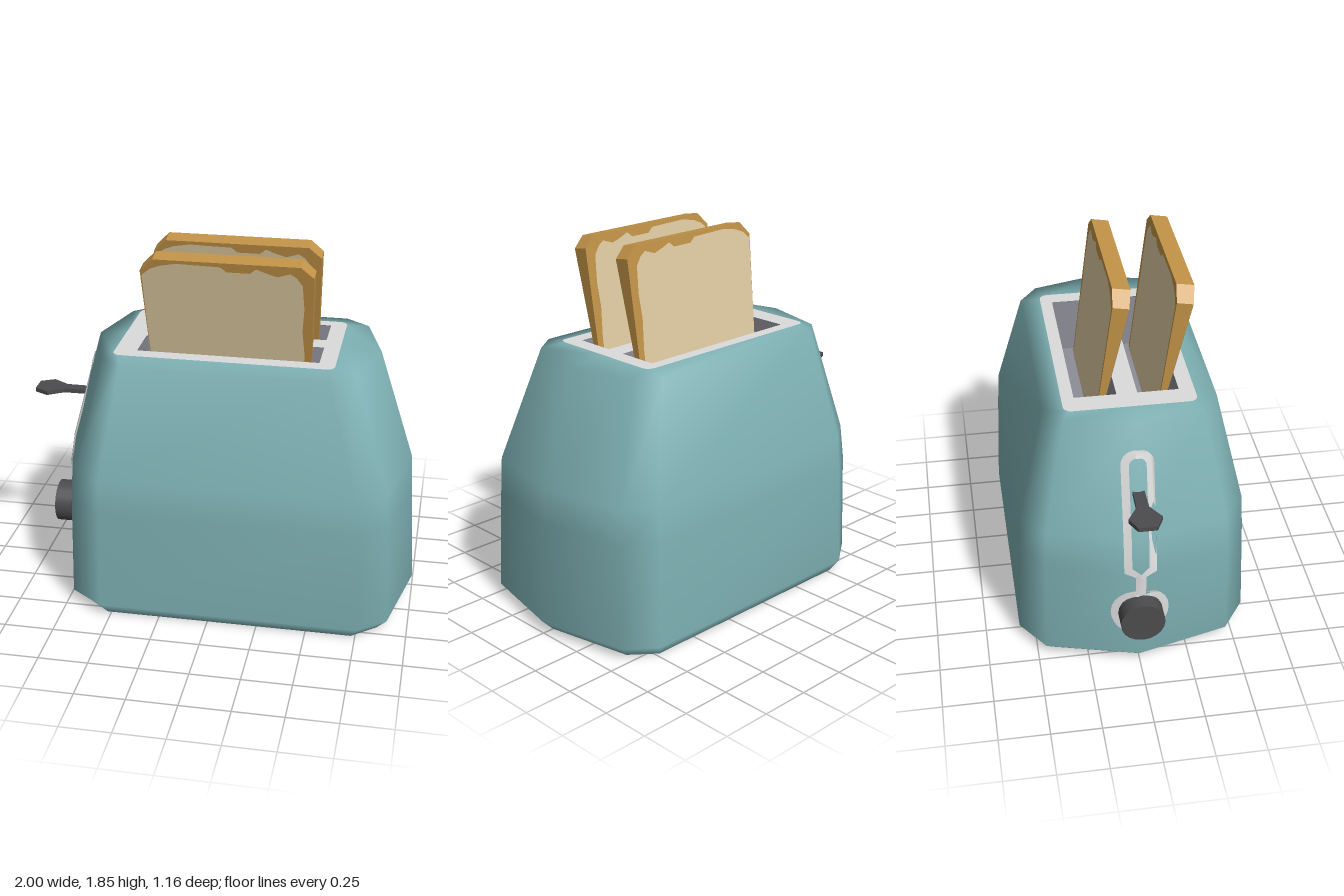
import * as THREE from 'three';

const mat = (name, color, side = THREE.DoubleSide) => {
  const m = new THREE.MeshStandardMaterial({ color, side });
  m.name = name;
  return m;
};

// Body levels: height, then half outline as [x, z] from the left-hand tip to the right-hand tip
const LEVELS = [
  [0, [[-0.78, 0], [-0.67, 0.42], [-0.52, 0.54], [0.73, 0.54], [0.85, 0.44], [0.94, 0]]],
  [0.06, [[-0.84, 0], [-0.72, 0.46], [-0.55, 0.58], [0.76, 0.58], [0.9, 0.47], [1, 0]]],
  [0.58, [[-0.835, 0], [-0.71, 0.45], [-0.545, 0.56], [0.74, 0.56], [0.88, 0.455], [0.97, 0]]],
  [0.76, [[-0.805, 0], [-0.69, 0.44], [-0.54, 0.55], [0.73, 0.55], [0.87, 0.45], [0.96, 0]]],
  [1.32, [[-0.65, 0], [-0.56, 0.33], [-0.45, 0.42], [0.57, 0.42], [0.69, 0.33], [0.78, 0]]],
  [1.333, [[-0.5, 0], [-0.5, 0.29], [-0.48, 0.31], [0.55, 0.31], [0.57, 0.29], [0.57, 0]]],
];

// Open-bottomed shell lofted through the levels
function bodyGeometry() {
  const pos = [], index = [];
  for (const [y, half] of LEVELS) {
    const back = half.slice(1, -1).reverse().map(([x, z]) => [x, -z]);
    for (const [x, z] of [...half, ...back]) pos.push(x, y, z);
  }
  const n = 10;
  for (let i = 0; i < LEVELS.length - 1; i++) {
    for (let j = 0; j < n; j++) {
      const k = (j + 1) % n, a = i * n + j, b = i * n + k;
      index.push(a, b, b + n, a, b + n, a + n);
    }
  }
  const g = new THREE.BufferGeometry();
  g.setAttribute('position', new THREE.Float32BufferAttribute(pos, 3));
  g.setIndex(index);
  g.computeVertexNormals();
  return g;
}

// x of the lever end's surface at a given height and z
function endX(y, z) {
  let i = 1;
  while (i < 3 && y > LEVELS[i + 1][0]) i++;
  const [y0, a] = LEVELS[i], [y1, b] = LEVELS[i + 1];
  const at = (h) => h[0][0] + (Math.abs(z) * (h[1][0] - h[0][0])) / h[1][1];
  return THREE.MathUtils.lerp(at(a), at(b), (y - y0) / (y1 - y0));
}

// Flat (z, y) shape laid onto the lever end
function endPlate(shape, offset) {
  const g = new THREE.ShapeGeometry(shape, 12);
  const p = g.attributes.position;
  for (let i = 0; i < p.count; i++) {
    const z = p.getX(i), y = p.getY(i);
    p.setXYZ(i, endX(y, z) - offset, y, z);
  }
  g.computeVertexNormals();
  return g;
}

function slotPath(Type, r, y0, y1) {
  const s = new Type();
  s.moveTo(r, y0);
  s.lineTo(r, 0.76);
  s.lineTo(r, y1 - r);
  s.absarc(0, y1 - r, r, 0, Math.PI, false);
  s.lineTo(-r, 0.76);
  s.lineTo(-r, y0);
  s.lineTo(0, y0 - 0.03);
  s.closePath();
  return s;
}

function roundedRect(x0, z0, x1, z1, r, Type = THREE.Shape) {
  const s = new Type();
  s.absarc(x1 - r, z1 - r, r, 0, Math.PI / 2);
  s.absarc(x0 + r, z1 - r, r, Math.PI / 2, Math.PI);
  s.absarc(x0 + r, z0 + r, r, Math.PI, Math.PI * 1.5);
  s.absarc(x1 - r, z0 + r, r, Math.PI * 1.5, Math.PI * 2);
  s.closePath();
  return s;
}

const polygon = (pts) => new THREE.Shape(pts.map(([x, y]) => new THREE.Vector2(x, y)));

// Lean and taper a flat slice: incoming z is -1 (back) to 1 (front)
function leanSlice(g, lift = 0) {
  const p = g.attributes.position;
  for (let i = 0; i < p.count; i++) {
    const y = p.getY(i), t = p.getZ(i), h = y - 1.33;
    const half = 0.0175 + 0.049 * h + lift;
    p.setY(i, y - t * half * 0.17);
    p.setZ(i, 0.1925 + 0.176 * h + t * half);
  }
  g.computeVertexNormals();
  return g;
}

export function createModel() {
  const teal = mat('teal enamel', 0x7fb2b5);
  const trim = mat('pale trim', 0xdcdcdc);
  const metal = mat('slot metal', 0x8e8e98);
  const dark = mat('dark plastic', 0x4c4c4e, THREE.FrontSide);
  const crust = mat('crust', 0xc29347, THREE.FrontSide);
  const crumb = mat('crumb', 0xe0cca2);

  const model = new THREE.Group();
  model.name = 'toaster';
  const add = (name, geometry, material, parent = model) => {
    const m = new THREE.Mesh(geometry, material);
    m.name = name;
    parent.add(m);
    return m;
  };

  add('body', bodyGeometry(), teal);

  // Top frame with two slots (shape y becomes -z)
  const slots = [[-0.26, -0.055], [0.045, 0.245]];
  const frame = roundedRect(-0.51, -0.32, 0.58, 0.32, 0.04);
  for (const [z0, z1] of slots) {
    frame.holes.push(roundedRect(-0.4, -z1, 0.5, -z0, 0.005, THREE.Path));
  }
  const frameGeometry = new THREE.ShapeGeometry(frame, 4);
  frameGeometry.rotateX(-Math.PI / 2);
  add('topFrame', frameGeometry, trim).position.y = 1.337;

  // Open-topped wells under the slots
  for (const [z0, z1] of slots) {
    const well = new THREE.BoxGeometry(0.9, 0.29, z1 - z0);
    const idx = Array.from(well.index.array);
    idx.splice(12, 6);
    well.setIndex(idx);
    well.clearGroups();
    add('slotWell', well, metal).position.set(0.05, 1.19, (z0 + z1) / 2);
  }

  // Bread slices: crust block with a ragged crumb face on both sides
  const sliceOutline = polygon([[-0.33, 1.06], [0.45, 1.06], [0.46, 1.4], [0.472, 1.79],
    [0.41, 1.845], [-0.295, 1.845], [-0.36, 1.78], [-0.345, 1.4]]);
  const crumbOutline = polygon([[-0.328, 1.06], [0.42, 1.06], [0.425, 1.35], [0.415, 1.5], [0.425, 1.62],
    [0.418, 1.75], [0.39, 1.79], [0.36, 1.81], [0.3, 1.79], [0.25, 1.805], [0.2, 1.825], [0.17, 1.8],
    [0.06, 1.8], [0.03, 1.825], [-0.18, 1.83], [-0.26, 1.815], [-0.31, 1.795], [-0.352, 1.76], [-0.342, 1.4]]);
  for (const z of [0, -0.3]) {
    const slice = new THREE.Group();
    slice.name = 'breadSlice';
    slice.position.z = z;
    model.add(slice);
    const block = new THREE.ExtrudeGeometry(sliceOutline, { depth: 2, bevelEnabled: false });
    add('crust', leanSlice(block.translate(0, 0, -1)), crust, slice);
    for (const t of [1, -1]) {
      const face = new THREE.ShapeGeometry(crumbOutline).translate(0, 0, t);
      if (t < 0) {
        const idx = Array.from(face.index.array).reverse();
        face.setIndex(idx);
      }
      add('crumbFace', leanSlice(face, 0.003), crumb, slice);
    }
  }

  // Lever track, stem and dial ring on the end
  const track = slotPath(THREE.Shape, 0.08, 0.58, 1.21);
  track.holes.push(slotPath(THREE.Path, 0.042, 0.61, 1.17));
  add('leverTrack', endPlate(track, 0.008), trim);
  add('trackStem', endPlate(polygon([[0.025, 0.45], [0.025, 0.57], [0, 0.57], [-0.025, 0.57],
    [-0.025, 0.45], [0, 0.45]]), 0.008), trim);

  const ring = new THREE.Shape().absarc(0, 0.33, 0.145, 0, Math.PI * 2);
  ring.holes.push(new THREE.Path().absarc(0, 0.33, 0.09, 0, Math.PI * 2));
  add('dialRing', endPlate(ring, 0.007), trim);
  const disc = new THREE.Shape().absarc(0, 0.33, 0.145, 0, Math.PI * 2);
  add('dialBacking', endPlate(disc, -0.02), trim);

  const dial = new THREE.CylinderGeometry(0.11, 0.11, 0.09, 20).rotateZ(Math.PI / 2);
  add('dial', dial, dark).position.set(-0.867, 0.33, 0);

  // Lever: flat paddle with a narrow stem
  const half = [[-0.7, 0.028], [-0.85, 0.03], [-0.93, 0.08], [-1, 0.045]];
  const paddle = polygon([...half, ...half.slice().reverse().map(([x, z]) => [x, -z])]);
  const lever = new THREE.ExtrudeGeometry(paddle, { depth: 0.022, bevelEnabled: false });
  lever.rotateX(-Math.PI / 2);
  add('lever', lever, dark).position.y = 0.982;

  return model;
}
